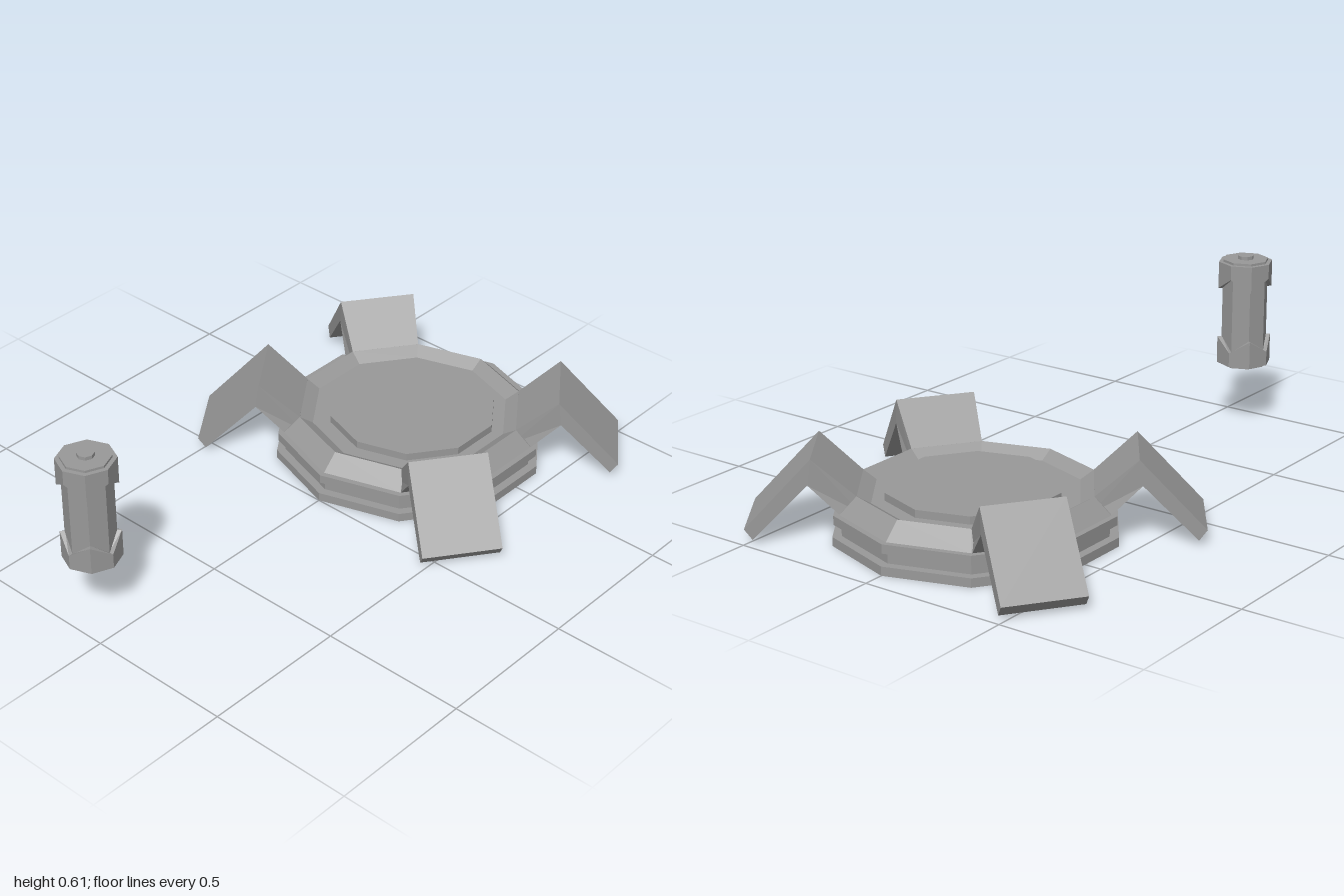
import * as THREE from 'three';

const grey = new THREE.MeshStandardMaterial({ color: 0x999999, flatShading: true });
grey.name = 'grey';

function part(name, geometry, parent, x = 0, y = 0, z = 0) {
  const mesh = new THREE.Mesh(geometry, grey);
  mesh.name = name;
  mesh.position.set(x, y, z);
  parent.add(mesh);
  return mesh;
}

const points = (list) => list.map(([x, y]) => new THREE.Vector2(x, y));

// Bent leg: side profile (distance from hub, height) given a width, narrowed at the rim
function legGeometry() {
  const width = 0.265;
  const shape = new THREE.Shape(points([
    [0.366, 0.155], [0.355, 0.1], [0.418, 0.098], [0.515, 0.195],
    [0.69, 0.015], [0.716, 0.05], [0.504, 0.28],
  ]));
  const geo = new THREE.ExtrudeGeometry(shape, { depth: width, bevelEnabled: false });
  geo.translate(0, 0, -width / 2);
  const p = geo.attributes.position;
  for (let i = 0; i < p.count; i++) {
    if (p.getX(i) < 0.4) p.setZ(i, p.getZ(i) * 0.9);
  }
  geo.computeVertexNormals();
  return geo;
}

// Octagonal collar whose lower edge zigzags between the corners
function collarGeometry() {
  const profile = points([[0.078, 0.1], [0.095, 0.1], [0.095, 0.183], [0.078, 0.183]]);
  const geo = new THREE.LatheGeometry(profile, 8);
  const p = geo.attributes.position;
  for (let i = 0; i < p.count; i++) {
    const column = Math.floor(i / profile.length);
    if (p.getY(i) < 0.15) p.setY(i, column % 2 ? 0.088 : 0.133);
  }
  geo.computeVertexNormals();
  return geo;
}

export function createModel() {
  const model = new THREE.Group();
  model.name = 'platformAndCanister';

  // Ten-sided platform with a recessed band and a shallow dish on top
  const platform = new THREE.Group();
  platform.name = 'platform';
  platform.position.z = -0.465;
  model.add(platform);
  part('base', new THREE.LatheGeometry(points([
    [0, 0], [0.465, 0], [0.465, 0.03], [0.435, 0.03], [0.435, 0.07], [0.46, 0.07],
    [0.46, 0.1], [0.44, 0.1], [0.385, 0.155], [0.34, 0.127], [0, 0.127],
  ]), 10), platform);
  part('centreDisc', new THREE.CylinderGeometry(0.288, 0.288, 0.03, 10), platform, 0.012, 0.138, 0);

  // Four legs set on the diagonal sides
  const leg = legGeometry();
  for (const turn of [0.2, 0.8, -0.2, -0.8]) {
    part('leg', leg, platform).rotation.y = turn * Math.PI;
  }

  // Floating eight-sided canister
  const canister = new THREE.Group();
  canister.name = 'canister';
  canister.position.set(-0.12, 0.408, 0.903);
  model.add(canister);
  part('canisterBody', new THREE.CylinderGeometry(0.08, 0.08, 0.382, 8), canister);
  part('canisterPin', new THREE.CylinderGeometry(0.028, 0.028, 0.406, 8), canister);
  const collar = collarGeometry();
  part('topCollar', collar, canister);
  part('bottomCollar', collar, canister).rotation.x = Math.PI;

  return model;
}
